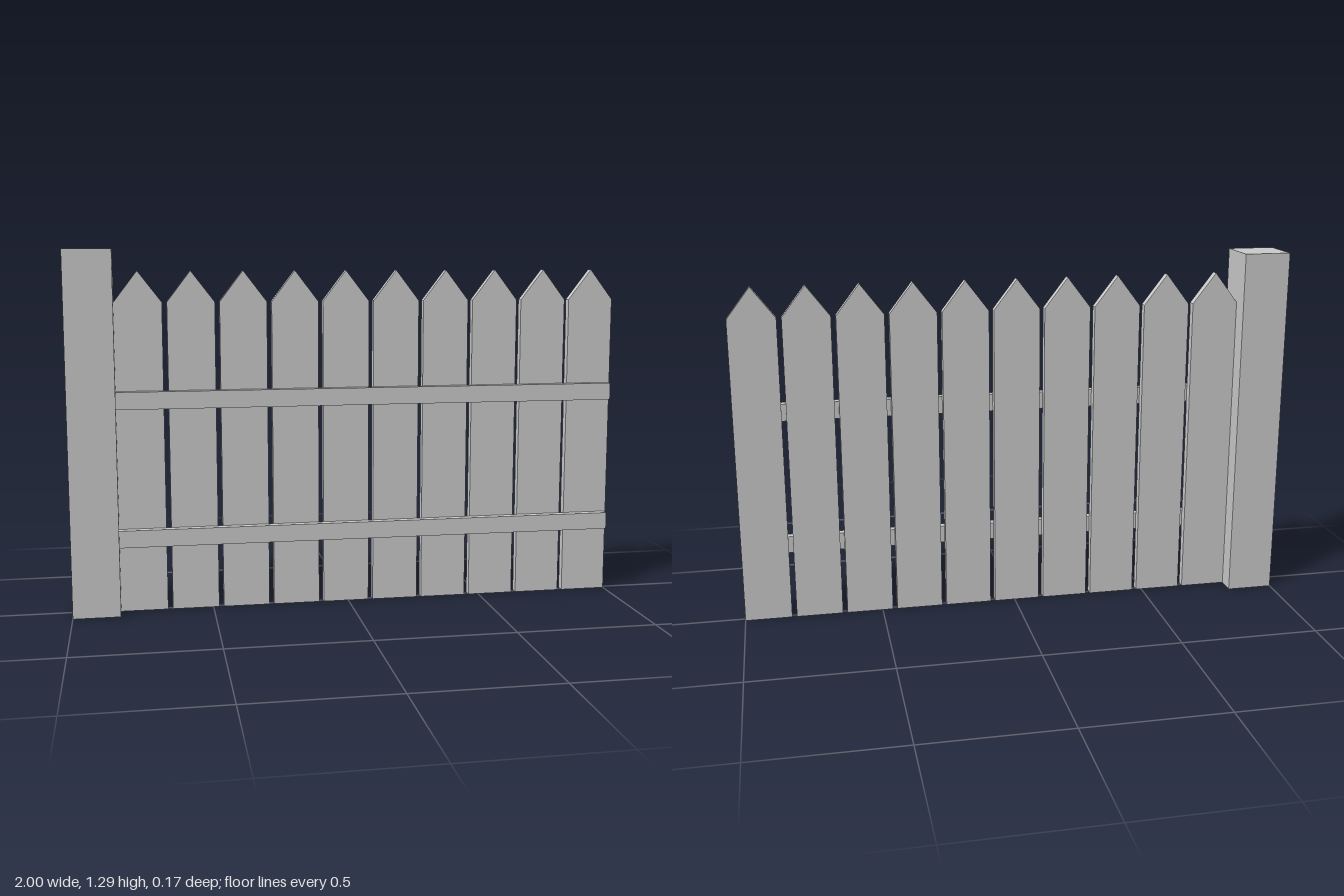
import * as THREE from 'three';

const material = new THREE.MeshStandardMaterial({ color: 0xcccccc, flatShading: true });

function addBox(group, name, [x0, x1], [y0, y1], [z0, z1]) {
  const mesh = new THREE.Mesh(new THREE.BoxGeometry(x1 - x0, y1 - y0, z1 - z0), material);
  mesh.position.set((x0 + x1) / 2, (y0 + y1) / 2, (z0 + z1) / 2);
  mesh.name = name;
  group.add(mesh);
}

// Board with a pointed top, centred on x = 0 and z = 0
function picketGeometry(width, shoulder, tip, depth) {
  const w = width / 2;
  const shape = new THREE.Shape([
    new THREE.Vector2(-w, 0),
    new THREE.Vector2(w, 0),
    new THREE.Vector2(w, shoulder),
    new THREE.Vector2(0, tip),
    new THREE.Vector2(-w, shoulder),
  ]);
  return new THREE.ExtrudeGeometry(shape, { depth, bevelEnabled: false }).translate(0, 0, -depth / 2);
}

export function createModel() {
  const fence = new THREE.Group();
  fence.name = 'picketFence';

  // Square end post
  addBox(fence, 'post', [-1, -0.832], [0, 1.295], [-0.084, 0.084]);

  // Row of evenly spaced pickets
  const count = 10, first = -0.748, last = 0.916;
  const geometry = picketGeometry(0.168, 1.11, 1.22, 0.031);
  for (let i = 0; i < count; i++) {
    const picket = new THREE.Mesh(geometry, material);
    picket.name = `picket${i + 1}`;
    picket.position.x = first + (last - first) * i / (count - 1);
    fence.add(picket);
  }

  // Two rails across the front of the pickets
  addBox(fence, 'lowerRail', [-0.832, 0.993], [0.24, 0.302], [0.0155, 0.045]);
  addBox(fence, 'upperRail', [-0.832, 0.993], [0.736, 0.798], [0.0155, 0.045]);

  return fence;
}
